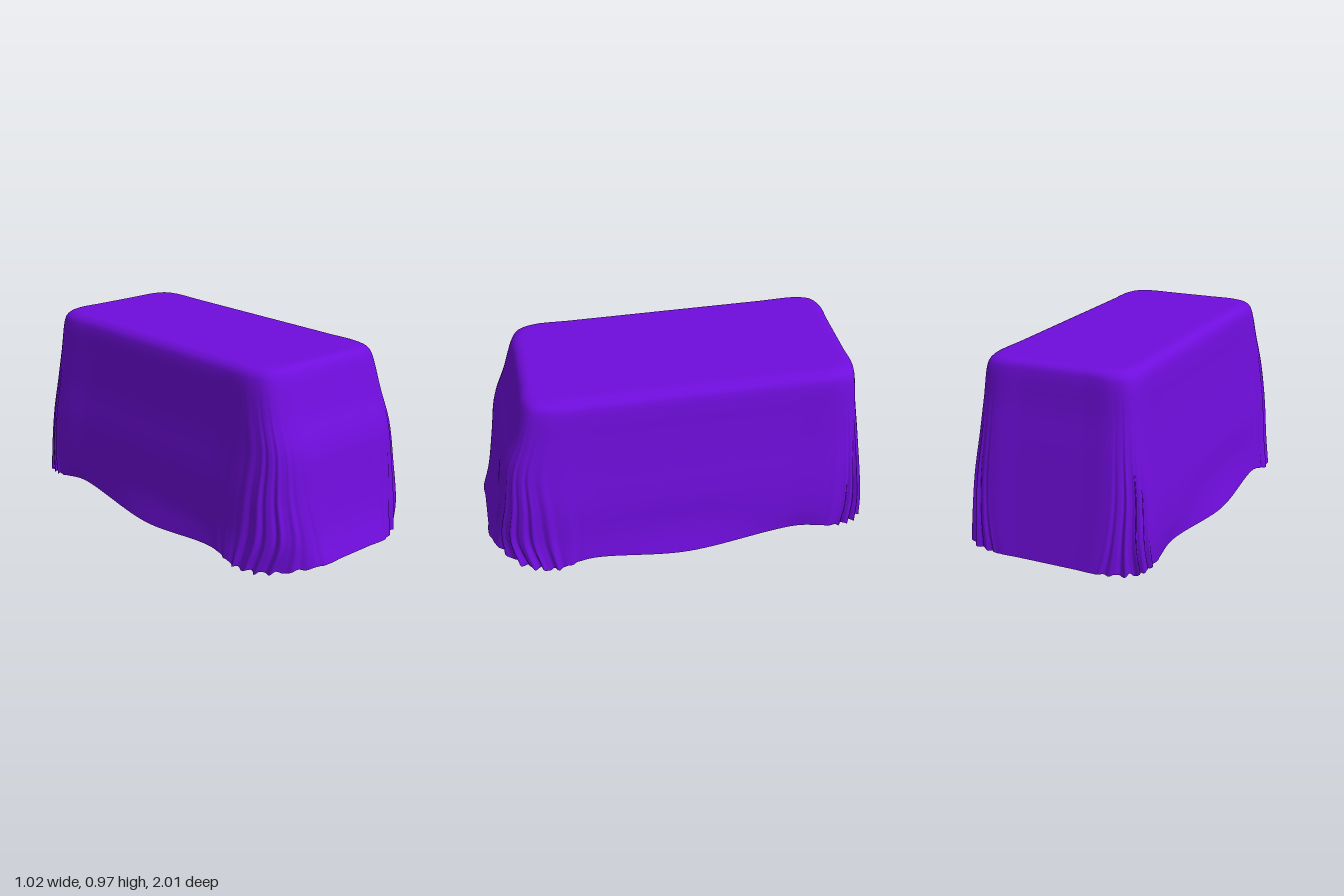
import * as THREE from 'three';

const SEG = 26;           // columns per control point around the cloth
const COLS = 24 * SEG;
const ROWS = 56;

// Half outline of a rounded rectangle, front centre -> side -> back centre
function outline(y, w, zf, zb, rf, rb) {
  const k = 0.293;
  return [
    [0, zf], [(w - rf) * 0.5, zf], [w - rf, zf], [w - rf * k, zf - rf * k], [w, zf - rf],
    [w, 0.45], [w, 0], [w, -0.55],
    [w, zb + rb], [w - rb * k, zb + rb * k], [w - rb, zb], [(w - rb) * 0.5, zb], [0, zb],
  ].map(([x, z]) => new THREE.Vector3(x, y, z));
}

// Mirror a half outline into a closed smooth ring
function ring(half) {
  const other = half.slice(1, -1).reverse().map((p) => new THREE.Vector3(-p.x, p.y, p.z));
  return new THREE.CatmullRomCurve3([...half, ...other], true, 'centripetal');
}

// Strength of the gathered folds around the front and back corners
function gather(u) {
  const bump = (c, a, b) => {
    const d = (u - c) / (u < c ? a : b);
    return Math.abs(d) < 1 ? Math.cos(d * Math.PI / 2) ** 1.3 : 0;
  };
  return Math.max(bump(3.4, 1.6, 1.5), bump(9, 1.4, 1.3));
}

function clothGeometry() {
  // Height, half width, front z, back z, corner radii, fold depth
  const levels = [
    [0.970, 0.31, 0.69, -0.80, 0.09, 0.09, 0],
    [0.967, 0.345, 0.73, -0.85, 0.10, 0.09, 0],
    [0.952, 0.372, 0.757, -0.875, 0.11, 0.10, 0],
    [0.925, 0.389, 0.775, -0.887, 0.12, 0.10, 0],
    [0.75, 0.410, 0.83, -0.905, 0.13, 0.10, 0.001],
    [0.59, 0.427, 0.89, -0.928, 0.15, 0.11, 0.003],
    [0.38, 0.455, 0.923, -0.955, 0.19, 0.13, 0.007],
    [0.17, 0.470, 0.962, -0.982, 0.24, 0.16, 0.012],
  ];
  const rings = levels.map((l) => ({ curve: ring(outline(...l)), depth: l[6] }));
  // Flared, uneven hem
  const hem = [
    [0, 0.05, 1], [0.1, 0.05, 1], [0.22, 0.048, 0.998], [0.425, 0.02, 0.855], [0.495, 0.012, 0.69],
    [0.487, 0.05, 0.5], [0.5, 0.02, 0], [0.465, 0.066, -0.6],
    [0.472, 0.04, -0.8], [0.435, 0.03, -0.925], [0.28, 0.03, -0.998], [0.14, 0.03, -1], [0, 0.03, -1],
  ].map((p) => new THREE.Vector3(...p));
  rings.push({ curve: ring(hem), depth: 0.017, hem: true });

  const pos = [0, 0.971, -0.05];
  const index = [];
  const columns = [];
  for (let j = 0; j < COLS; j++) {
    const t = j / COLS;
    const u = t <= 0.5 ? t * 24 : 24 - t * 24;
    const g = gather(u);
    const wave = Math.sin(u * 17 + 0.6) * 0.75 + Math.sin(u * 29 + 1.3) * 0.35;
    const pts = rings.map(({ curve, depth, hem: isHem }) => {
      const p = curve.getPoint(t);
      const tan = curve.getTangent(t);
      const n = new THREE.Vector3(tan.z, 0, -tan.x).normalize();
      if (n.x * p.x + n.z * p.z < 0) n.negate();
      p.addScaledVector(n, depth * g * wave);
      if (isHem) p.y = Math.max(0, p.y + g * 0.009 * Math.sin(u * 17 + 2));
      return p;
    });
    columns.push(new THREE.CatmullRomCurve3(pts, false, 'centripetal'));
  }
  for (let i = 0; i <= ROWS; i++) {
    for (const c of columns) {
      const p = c.getPoint(i / ROWS);
      pos.push(p.x, p.y, p.z);
    }
  }
  // Roof fan, then the draped sides; the bottom stays open
  for (let j = 0; j < COLS; j++) {
    const k = (j + 1) % COLS;
    index.push(0, 1 + j, 1 + k);
    for (let i = 0; i < ROWS; i++) {
      const a = 1 + i * COLS + j, b = 1 + i * COLS + k;
      index.push(a, a + COLS, b, b, a + COLS, b + COLS);
    }
  }
  const geo = new THREE.BufferGeometry();
  geo.setAttribute('position', new THREE.Float32BufferAttribute(pos, 3));
  geo.setIndex(index);
  geo.computeVertexNormals();
  return geo;
}

export function createModel() {
  const group = new THREE.Group();
  group.name = 'drapedCover';
  const material = new THREE.MeshStandardMaterial({ color: 0x6f0ddc, side: THREE.DoubleSide });
  const cloth = new THREE.Mesh(clothGeometry(), material);
  cloth.name = 'clothCover';
  group.add(cloth);
  return group;
}
